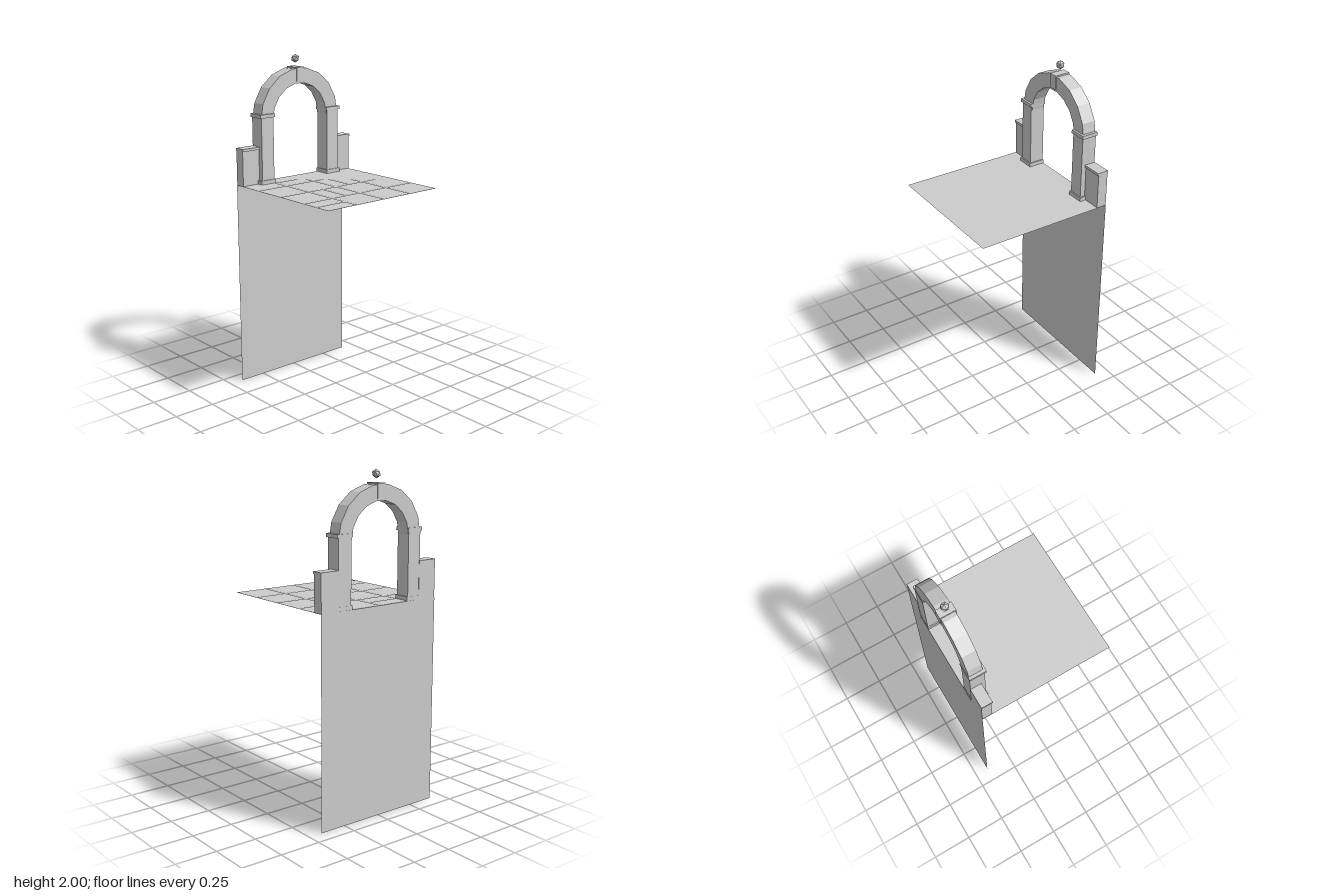
import * as THREE from 'three';

const FLOOR = 1.25;

export function createModel() {
  const model = new THREE.Group();
  model.name = 'archedBalcony';
  const stone = new THREE.MeshStandardMaterial({ color: 0xcccccc, side: THREE.DoubleSide });
  stone.name = 'grey stone';

  const add = (name, geometry, parent = model) => {
    const mesh = new THREE.Mesh(geometry, stone);
    mesh.name = name;
    parent.add(mesh);
    return mesh;
  };
  // Box given by its limits on each axis
  const box = (name, x0, x1, y0, y1, z0, z1, parent) =>
    add(name, new THREE.BoxGeometry(x1 - x0, y1 - y0, z1 - z0), parent)
      .position.set((x0 + x1) / 2, (y0 + y1) / 2, (z0 + z1) / 2);
  // Flat horizontal sheet
  const sheet = (name, x0, x1, z0, z1, y, parent) =>
    add(name, new THREE.PlaneGeometry(x1 - x0, z1 - z0).rotateX(-Math.PI / 2), parent)
      .position.set((x0 + x1) / 2, y, (z0 + z1) / 2);

  // Floor sheet and the tall wall sheet below its edge
  sheet('floor', -0.415, 0.415, -0.415, 0.415, FLOOR);
  const wall = add('wall', new THREE.PlaneGeometry(0.83, FLOOR).rotateY(-Math.PI / 2));
  wall.position.set(-0.415, FLOOR / 2, 0);

  // Paving: a 4 x 4 grid with a few slabs cut in two
  const tiles = new THREE.Group();
  tiles.name = 'pavingTiles';
  model.add(tiles);
  const cols = [[-0.41, -0.215], [-0.203, -0.005], [0.005, 0.203], [0.213, 0.411]];
  const rows = [[-0.411, -0.213], [-0.203, -0.006], [0.004, 0.201], [0.212, 0.411]];
  const cuts = { '1,1': ['z', -0.105], '2,2': ['z', 0.103], '3,3': ['x', 0.313], '0,2': ['x', -0.313] };
  const gap = 0.005;
  cols.forEach(([x0, x1], i) => rows.forEach(([z0, z1], j) => {
    const [axis, at] = cuts[`${i},${j}`] || [];
    const xs = axis === 'x' ? [[x0, at - gap], [at + gap, x1]] : [[x0, x1]];
    const zs = axis === 'z' ? [[z0, at - gap], [at + gap, z1]] : [[z0, z1]];
    for (const [a, b] of xs) for (const [c, d] of zs) sheet('tile', a, b, c, d, FLOOR + 0.002, tiles);
  }));

  // Parapets and columns, mirrored front to back
  for (const side of [1, -1]) {
    const group = new THREE.Group();
    group.name = side > 0 ? 'frontSupport' : 'backSupport';
    model.add(group);
    const part = (name, x0, x1, y0, y1, z0, z1) =>
      box(name, x0, x1, y0, y1, side > 0 ? z0 : -z1, side > 0 ? z1 : -z0, group);
    part('parapet', -0.415, -0.353, FLOOR, 1.46, 0.29, 0.413);
    part('parapetCap', -0.415, -0.346, 1.46, 1.475, 0.29, 0.415);
    part('columnBase', -0.414, -0.315, FLOOR, 1.275, 0.2, 0.305);
    part('column', -0.413, -0.322, 1.275, 1.647, 0.207, 0.295);
    part('capital', -0.416, -0.315, 1.647, 1.668, 0.2, 0.305);
  }

  // Half-ring arch with nine straight segments
  const shape = new THREE.Shape();
  const arc = (r, k) => [r * Math.cos(k * Math.PI / 9), r * Math.sin(k * Math.PI / 9)];
  shape.moveTo(...arc(0.295, 0));
  for (let k = 1; k <= 9; k++) shape.lineTo(...arc(0.295, k));
  for (let k = 9; k >= 0; k--) shape.lineTo(...arc(0.205, k));
  const archGeometry = new THREE.ExtrudeGeometry(shape, { depth: 0.084, bevelEnabled: false });
  archGeometry.rotateY(Math.PI / 2);
  add('arch', archGeometry).position.set(-0.412, 1.627, 0);

  // Keystone and faceted ball on top
  box('keystone', -0.416, -0.321, 1.842, 1.926, -0.026, 0.026);
  const ball = new THREE.IcosahedronGeometry(0.026, 0);
  ball.rotateX(-Math.atan((1 + Math.sqrt(5)) / 2));
  add('finial', ball).position.set(-0.37, 1.974, 0);

  return model;
}
